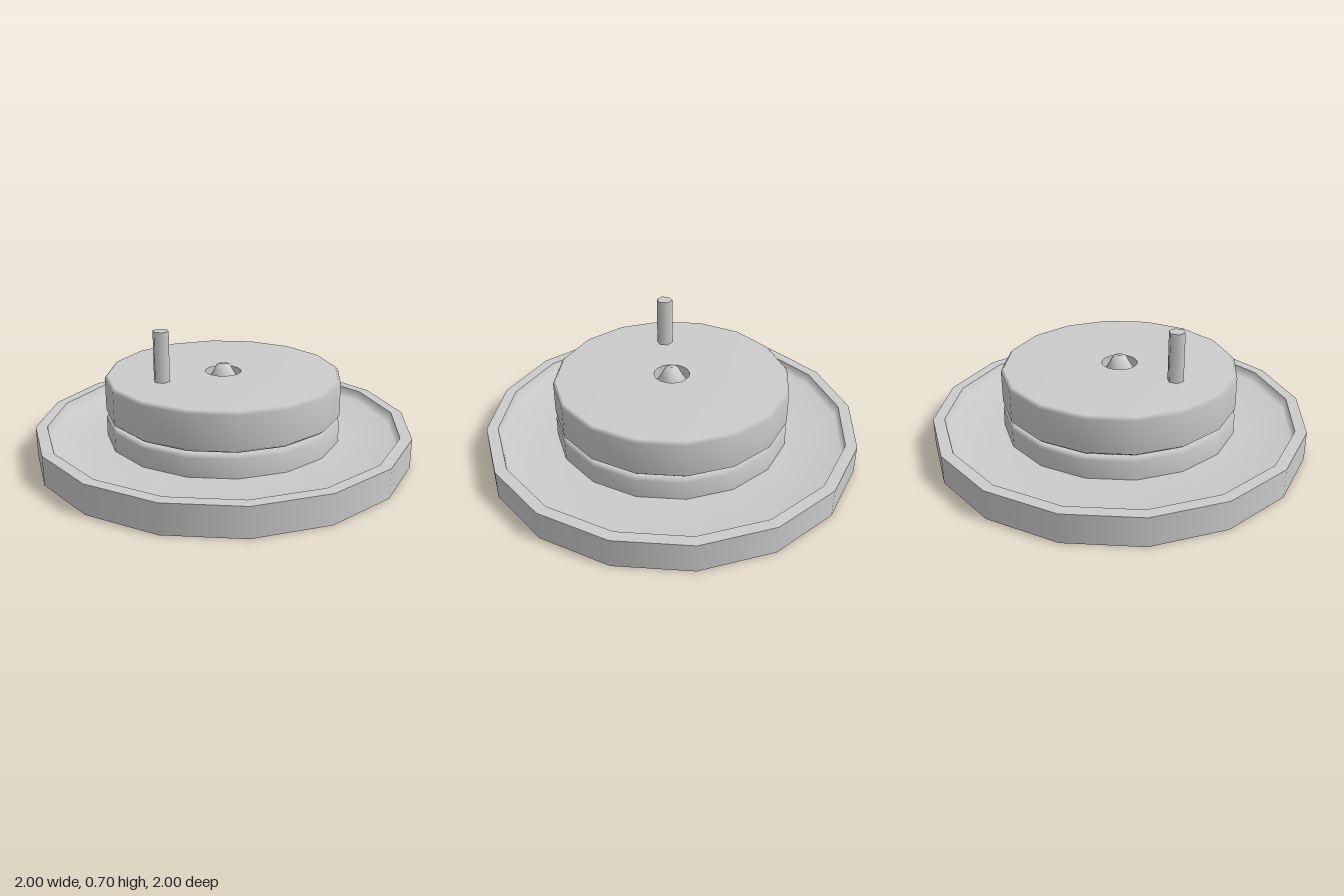
import * as THREE from 'three';
import { mergeGeometries } from 'three/addons/utils/BufferGeometryUtils.js';

const SIDES = 16;
const material = new THREE.MeshStandardMaterial({ color: 0xcccccc });

// Turned part: smooth within each profile, sharp between profiles.
function turned(name, ...profiles) {
  const lathes = profiles.map((profile) =>
    new THREE.LatheGeometry(profile.map(([r, y]) => new THREE.Vector2(r, y)), SIDES));
  const mesh = new THREE.Mesh(mergeGeometries(lathes), material);
  mesh.name = name;
  return mesh;
}

export function createModel() {
  const model = new THREE.Group();
  model.name = 'handMill';

  // Round tray with a raised rim and a shallow catching basin
  model.add(turned('tray',
    [[0, 0], [1, 0]],
    [[1, 0], [1, 0.155]],
    [[1, 0.155], [0.94, 0.155]],
    [[0.94, 0.155], [0.925, 0.1], [0.6, 0.1]]));

  // Fixed lower stone with a bevelled top edge
  model.add(turned('lowerStone',
    [[0.625, 0.1], [0.625, 0.2], [0.605, 0.217], [0, 0.217]]));

  // Turning upper stone, bevelled on both edges, with a feed hole in the middle
  model.add(turned('upperStone',
    [[0.09, 0.225], [0.605, 0.225], [0.625, 0.242], [0.625, 0.418], [0.61, 0.435], [0.095, 0.435]],
    [[0.095, 0.435], [0.09, 0.225]]));

  // Tapered spindle standing in the feed hole
  model.add(turned('spindle',
    [[0.088, 0.217], [0.085, 0.385], [0.055, 0.432], [0.035, 0.47], [0, 0.472]]));

  // Six-sided upright handle
  const handle = new THREE.Mesh(new THREE.CylinderGeometry(0.043, 0.043, 0.295, 6), material);
  handle.name = 'handle';
  handle.position.set(-0.253, 0.55, 0.253);
  handle.rotation.y = Math.PI / 2;
  model.add(handle);

  return model;
}
